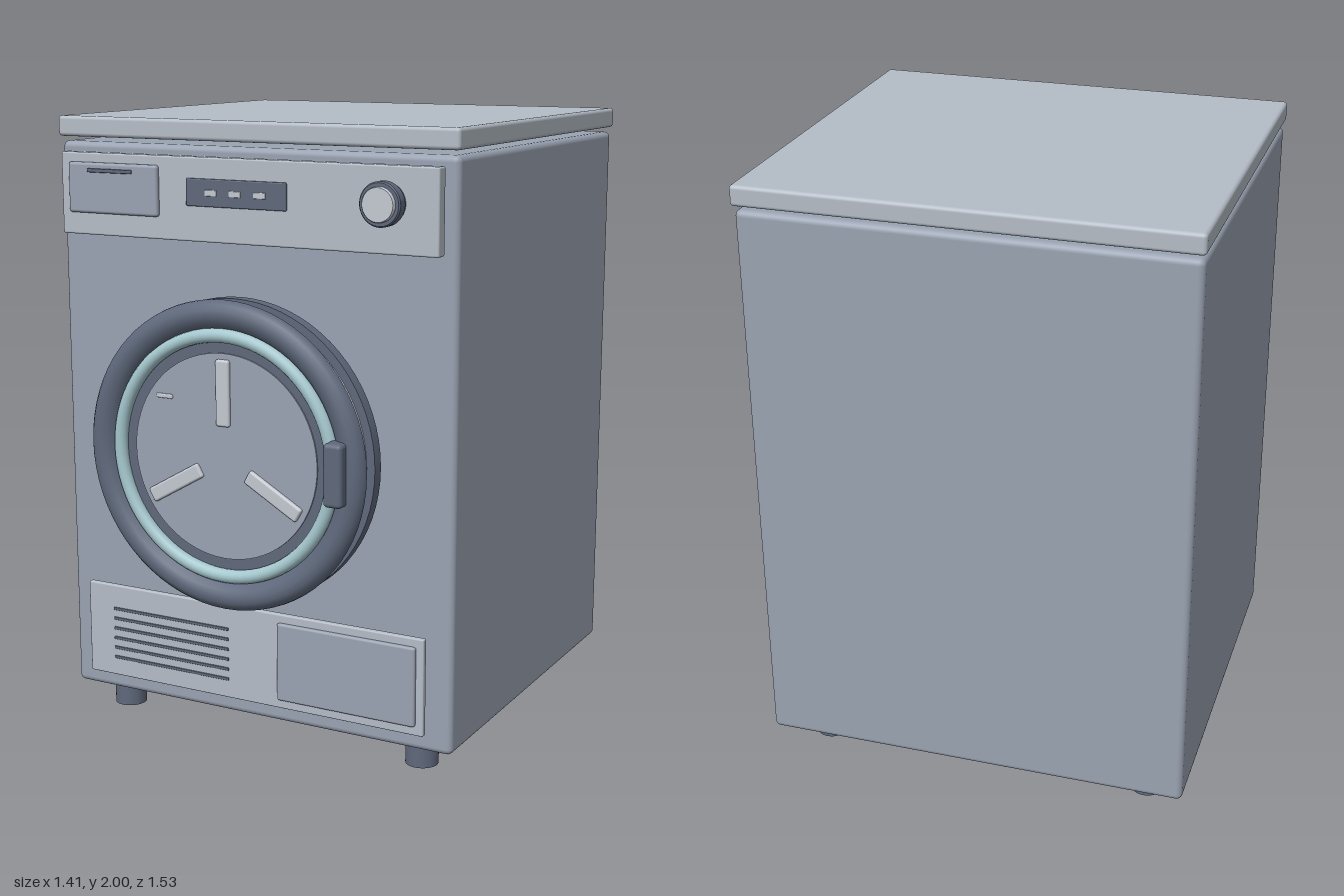
import * as THREE from 'three';
import { RoundedBoxGeometry } from 'three/addons/geometries/RoundedBoxGeometry.js';
import { toCreasedNormals } from 'three/addons/utils/BufferGeometryUtils.js';

const paint = (color) => new THREE.MeshStandardMaterial({ color });

export function createModel() {
  const model = new THREE.Group();
  const shell = paint(0x9aa3b2), pale = paint(0xb4bcc6), dark = paint(0x5f697c);
  const silver = paint(0xc3c8d0), teal = paint(0xa3c6cc);

  const add = (name, geometry, material, parent = model) => {
    const mesh = new THREE.Mesh(geometry, material);
    mesh.name = name;
    parent.add(mesh);
    return mesh;
  };

  // Rounded block given by its limits on each axis
  const block = (name, [x0, x1], [y0, y1], [z0, z1], radius, material, parent) => {
    const w = x1 - x0, h = y1 - y0, d = z1 - z0;
    const r = Math.min(radius, w * 0.45, h * 0.45, d * 0.45);
    const mesh = add(name, new RoundedBoxGeometry(w, h, d, 3, r), material, parent);
    mesh.position.set((x0 + x1) / 2, (y0 + y1) / 2, (z0 + z1) / 2);
    return mesh;
  };

  // Turned part facing +z, from [radius, z] points running back to front
  const turned = (name, points, material, parent, segments = 72) => {
    const profile = points.map(([r, z]) => new THREE.Vector2(r, z));
    const geometry = new THREE.LatheGeometry(profile, segments).rotateX(Math.PI / 2);
    return add(name, toCreasedNormals(geometry, 0.6), material, parent);
  };

  // Cabinet and worktop
  block('cabinet', [-0.7, 0.7], [0.083, 1.92], [-0.75, 0.532], 0.02, shell);
  block('worktop', [-0.705, 0.705], [1.935, 2], [-0.762, 0.545], 0.012, pale);

  // Feet
  for (const x of [-0.555, 0.555]) {
    for (const z of [-0.595, 0.43]) {
      add('foot', new THREE.CylinderGeometry(0.053, 0.053, 0.09, 32), dark).position.set(x, 0.045, z);
    }
  }

  // Control panel with drawer, display and dial
  const controls = new THREE.Group();
  controls.name = 'controlPanel';
  model.add(controls);
  block('controlFascia', [-0.663, 0.663], [1.63, 1.89], [0.545, 0.588], 0.006, pale, controls);
  block('detergentDrawer', [-0.627, -0.292], [1.7, 1.86], [0.58, 0.604], 0.01, shell, controls);
  block('drawerGrip', [-0.547, -0.382], [1.83, 1.842], [0.598, 0.613], 0.003, dark, controls);
  block('display', [-0.19, 0.163], [1.74, 1.825], [0.58, 0.596], 0.004, dark, controls);
  for (const x of [-0.099, -0.014, 0.073]) {
    block('displaySegment', [x - 0.021, x + 0.021], [1.773, 1.792], [0.592, 0.599], 0.002, silver, controls);
  }
  const dial = new THREE.Group();
  dial.name = 'dial';
  dial.position.set(0.495, 1.78, 0);
  controls.add(dial);
  turned('dialBase', [[0, 0.58], [0.062, 0.58], [0.062, 0.598], [0.067, 0.602], [0.067, 0.632], [0.063, 0.637], [0, 0.637]], dark, dial, 48);
  turned('dialCap', [[0, 0.63], [0.053, 0.63], [0.052, 0.646], [0.05, 0.649], [0, 0.649]], silver, dial, 48);

  // Door
  const door = new THREE.Group();
  door.name = 'door';
  door.position.set(0, 0.988, 0);
  model.add(door);
  turned('doorSeal', [[0, 0.588], [0.482, 0.588], [0.482, 0.628], [0, 0.628]], dark, door);
  turned('doorCore', [[0, 0.62], [0.455, 0.62], [0.455, 0.67], [0, 0.67]], silver, door);
  turned('doorBezel', [
    [0.36, 0.66], [0.462, 0.66], [0.476, 0.672], [0.488, 0.692], [0.486, 0.704], [0.475, 0.718],
    [0.459, 0.728], [0.44, 0.729], [0.42, 0.722], [0.404, 0.707], [0.395, 0.69], [0.36, 0.69], [0.36, 0.66],
  ], dark, door);
  add('trimRing', new THREE.TorusGeometry(0.379, 0.022, 16, 72), teal, door).position.z = 0.7;
  turned('glassRim', [[0, 0.665], [0.362, 0.665], [0.362, 0.693], [0, 0.693]], dark, door);
  turned('glass', [[0, 0.685], [0.324, 0.685], [0.324, 0.698], [0, 0.698]], shell, door);

  // Drum paddles seen in the window
  for (let i = 0; i < 3; i++) {
    const spoke = new THREE.Group();
    spoke.name = 'drumPaddle';
    spoke.rotation.z = (i * Math.PI * 2) / 3;
    door.add(spoke);
    block('paddle', [-0.024, 0.024], [0.097, 0.305], [0.69, 0.71], 0.008, silver, spoke);
  }
  block('glassHighlight', [-0.243, -0.184], [0.165, 0.179], [0.692, 0.703], 0.004, silver, door);
  block('doorHandle', [0.375, 0.438], [-0.095, 0.1], [0.7, 0.764], 0.014, dark, door);

  // Lower panel with vent slats and filter hatch
  const plinth = new THREE.Group();
  plinth.name = 'lowerPanel';
  model.add(plinth);
  block('lowerFascia', [-0.62, 0.62], [0.145, 0.46], [0.546, 0.567], 0.005, pale, plinth);
  block('filterHatch', [0.11, 0.595], [0.175, 0.433], [0.56, 0.58], 0.008, shell, plinth);
  for (let i = 0; i < 6; i++) {
    const y = 0.209 + i * 0.034;
    block('ventSlat', [-0.52, -0.074], [y - 0.005, y + 0.005], [0.56, 0.571], 0.002, dark, plinth);
  }

  return model;
}
